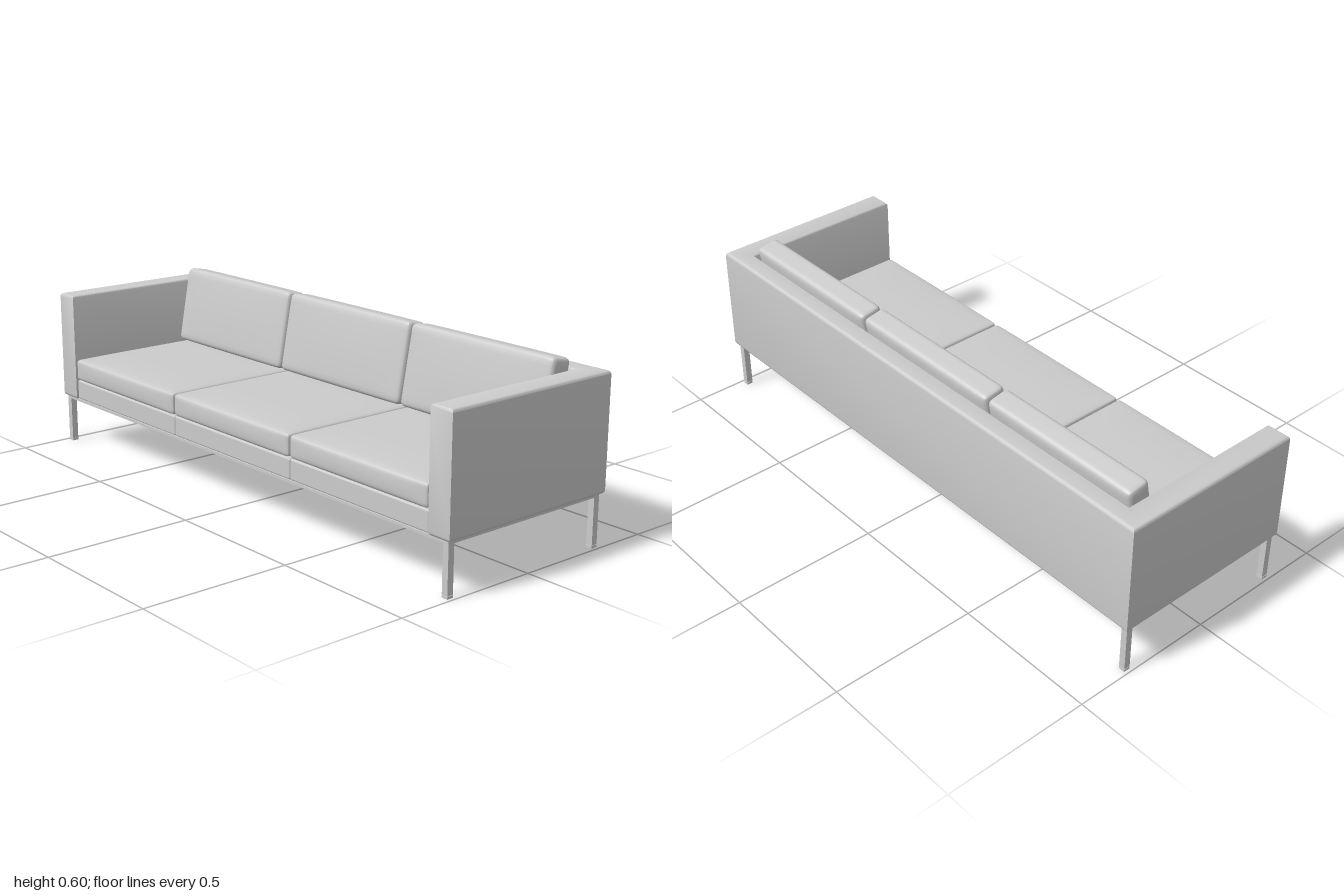
import * as THREE from 'three';
import { mergeVertices, toCreasedNormals } from 'three/addons/utils/BufferGeometryUtils.js';
import { RoundedBoxGeometry } from 'three/addons/geometries/RoundedBoxGeometry.js';

const material = new THREE.MeshStandardMaterial({ color: 0xcccccc });

function addMesh(parent, name, geometry, x = 0, y = 0, z = 0) {
  const mesh = new THREE.Mesh(geometry, material);
  mesh.name = name;
  mesh.position.set(x, y, z);
  parent.add(mesh);
  return mesh;
}

// Soft box: rounded edges of radius r, each face puffed outwards by its own bulge
function cushionGeometry(w, h, d, r, bulge) {
  let g = new THREE.BoxGeometry(2, 2, 2, 20, 14, 20);
  g.deleteAttribute('uv');
  g.deleteAttribute('normal');
  g = mergeVertices(g, 1e-5);
  const half = new THREE.Vector3(w / 2, h / 2, d / 2);
  const inner = half.clone().subScalar(r);
  const pos = g.attributes.position;
  const p = new THREE.Vector3(), c = new THREE.Vector3();
  for (let i = 0; i < pos.count; i++) {
    p.fromBufferAttribute(pos, i);
    // crowd the vertices towards the edges
    const u = Math.sin(p.x * Math.PI / 2), v = Math.sin(p.y * Math.PI / 2), t = Math.sin(p.z * Math.PI / 2);
    p.set(u, v, t).multiply(half);
    c.copy(p).clamp(inner.clone().negate(), inner);
    p.sub(c).setLength(r).add(c);
    const fu = 1 - u ** 4, fv = 1 - v * v, ft = 1 - t ** 4;
    p.x += u * bulge.x * fv * ft;
    p.y += v * bulge.y * fu * ft;
    p.z += t * bulge.z * fu * fv;
    pos.setXYZ(i, p.x, p.y, p.z);
  }
  g.computeVertexNormals();
  return g;
}

// U-shaped upholstered shell: two arms and the back in one piece
function shellGeometry() {
  const r = 0.012, X = 1 - r, xi = 0.915 + r, front = 0.325 - r, back = -0.33 + r, backIn = -0.262 - r;
  const shape = new THREE.Shape([
    [-X, back], [X, back], [X, front], [xi, front],
    [xi, backIn], [-xi, backIn], [-xi, front], [-X, front],
  ].map(([x, z]) => new THREE.Vector2(x, z)));
  const g = new THREE.ExtrudeGeometry(shape, {
    depth: 0.383 - 2 * r, bevelEnabled: true, bevelSize: r, bevelThickness: r, bevelSegments: 5,
  });
  g.rotateX(Math.PI / 2);
  g.translate(0, 0.553 - r, 0);
  return toCreasedNormals(g, 0.6);
}

// Rectangular ring lying flat, from y0 to y1
function ringGeometry(x, z, width, y0, y1) {
  const rect = (C, a, b) => new C([[-a, -b], [a, -b], [a, b], [-a, b]].map(q => new THREE.Vector2(...q)));
  const shape = rect(THREE.Shape, x, z);
  shape.holes.push(rect(THREE.Path, x - width, z - width));
  const g = new THREE.ExtrudeGeometry(shape, { depth: y1 - y0, bevelEnabled: false });
  g.rotateX(Math.PI / 2);
  g.translate(0, y1, 0);
  return g;
}

export function createModel() {
  const sofa = new THREE.Group();
  sofa.name = 'sofa';

  addMesh(sofa, 'armsAndBack', shellGeometry());

  // Three bays: base section, seat cushion and leaning back cushion
  const pitch = 0.608;
  const base = new RoundedBoxGeometry(pitch, 0.069, 0.59, 3, 0.006);
  const seat = cushionGeometry(0.603, 0.076, 0.58, 0.012, new THREE.Vector3(0, 0.009, 0.004));
  const rest = cushionGeometry(0.602, 0.272, 0.084, 0.018, new THREE.Vector3(0, 0.001, 0.005));
  for (let i = -1; i <= 1; i++) {
    const bay = new THREE.Group();
    bay.name = 'bay' + (i + 2);
    bay.position.x = i * pitch;
    sofa.add(bay);
    addMesh(bay, 'seatBase', base, 0, 0.2085, 0.026);
    addMesh(bay, 'seatCushion', seat, 0, 0.283, 0.035);
    addMesh(bay, 'backCushion', rest, 0, 0.457, -0.194).rotation.x = -0.185;
  }

  // Underside deck, batten and metal frame
  addMesh(sofa, 'underDeck', new THREE.BoxGeometry(1.96, 0.008, 0.62), 0, 0.174, 0);
  addMesh(sofa, 'underBatten', ringGeometry(0.945, 0.28, 0.012, 0.166, 0.172));
  addMesh(sofa, 'frameRail', ringGeometry(0.989, 0.317, 0.022, 0.162, 0.171));

  // Square legs with a small glide under each
  const leg = new THREE.BoxGeometry(0.022, 0.155, 0.022);
  const glide = new THREE.BoxGeometry(0.022, 0.008, 0.022);
  const neck = new THREE.BoxGeometry(0.018, 0.004, 0.018);
  for (const sx of [-1, 1]) for (const sz of [-1, 1]) {
    const x = sx * 0.978, z = sz * 0.306;
    addMesh(sofa, 'leg', leg, x, 0.0875, z);
    addMesh(sofa, 'legNeck', neck, x, 0.009, z);
    addMesh(sofa, 'legGlide', glide, x, 0.004, z);
  }
  return sofa;
}
